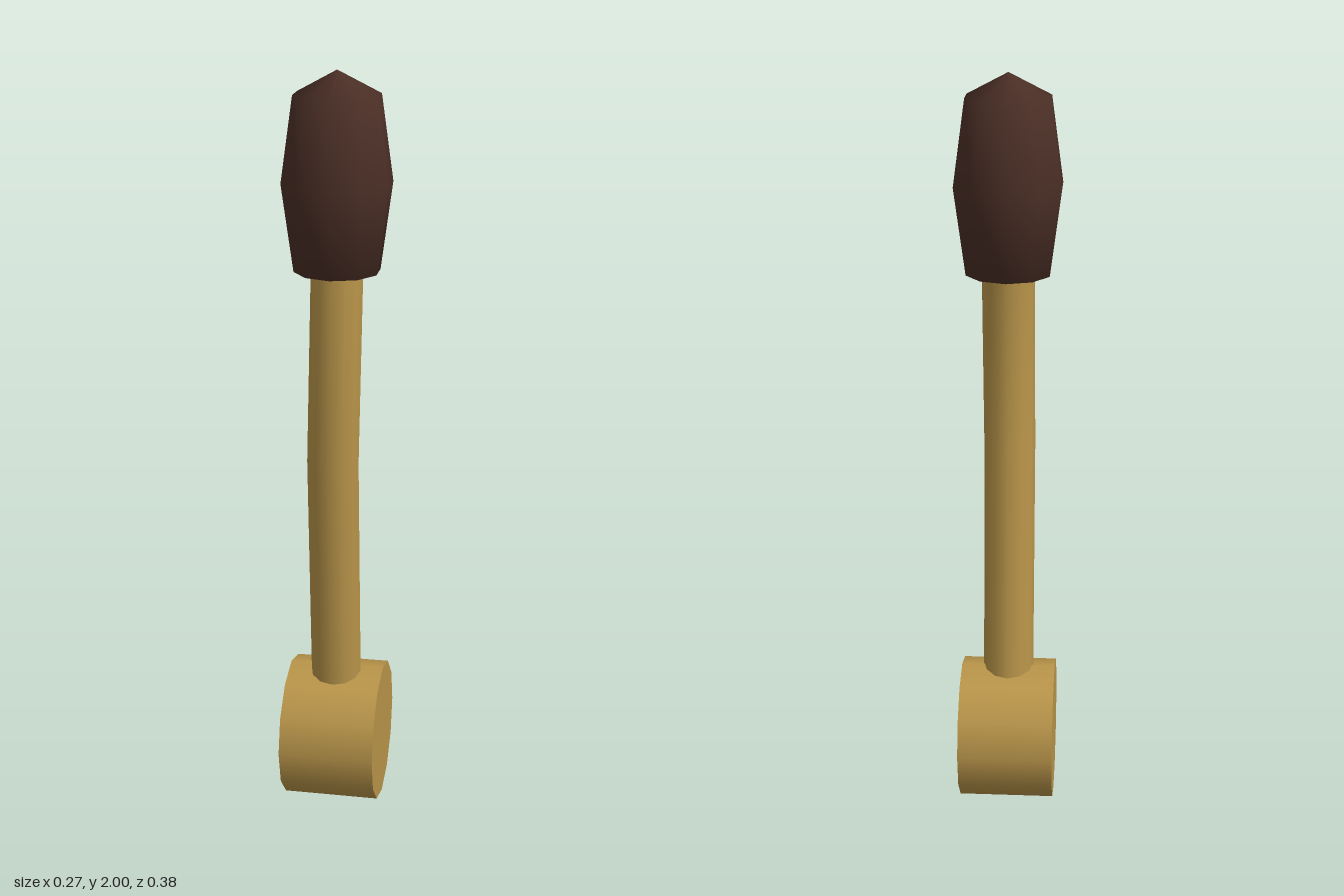
import * as THREE from 'three';

export function createModel() {
  const brass = new THREE.MeshStandardMaterial({ name: 'brass', color: 0xb9954a });
  const darkWood = new THREE.MeshStandardMaterial({ name: 'darkWood', color: 0x4b2f26 });
  const model = new THREE.Group();
  model.name = 'lever';

  const add = (name, geometry, material) => {
    const mesh = new THREE.Mesh(geometry, material);
    mesh.name = name;
    model.add(mesh);
    return mesh;
  };

  // Pivot drum lying along x
  const hub = add('pivotHub', new THREE.CylinderGeometry(0.19, 0.19, 0.255, 12), brass);
  hub.rotation.z = Math.PI / 2;
  hub.position.y = 0.19;

  // Rod with one mitred bend, both ends buried in the hub and grip
  const bottom = new THREE.Vector3(0, 0.19, 0);
  const bend = new THREE.Vector3(0, 1, 0.065);
  const top = new THREE.Vector3(0, 1.8, -0.035);
  const path = new THREE.CurvePath();
  path.add(new THREE.LineCurve3(bottom, bend));
  path.add(new THREE.LineCurve3(bend, top));
  add('bentRod', new THREE.TubeGeometry(path, 2, 0.068, 12), brass);

  // Ten-sided grip with a shallow pointed cap
  const profile = [[0, 1.48], [0.112, 1.494], [0.143, 1.72], [0.112, 1.94], [0, 2]];
  add('grip', new THREE.LatheGeometry(profile.map(([r, y]) => new THREE.Vector2(r, y)), 10), darkWood);

  return model;
}
